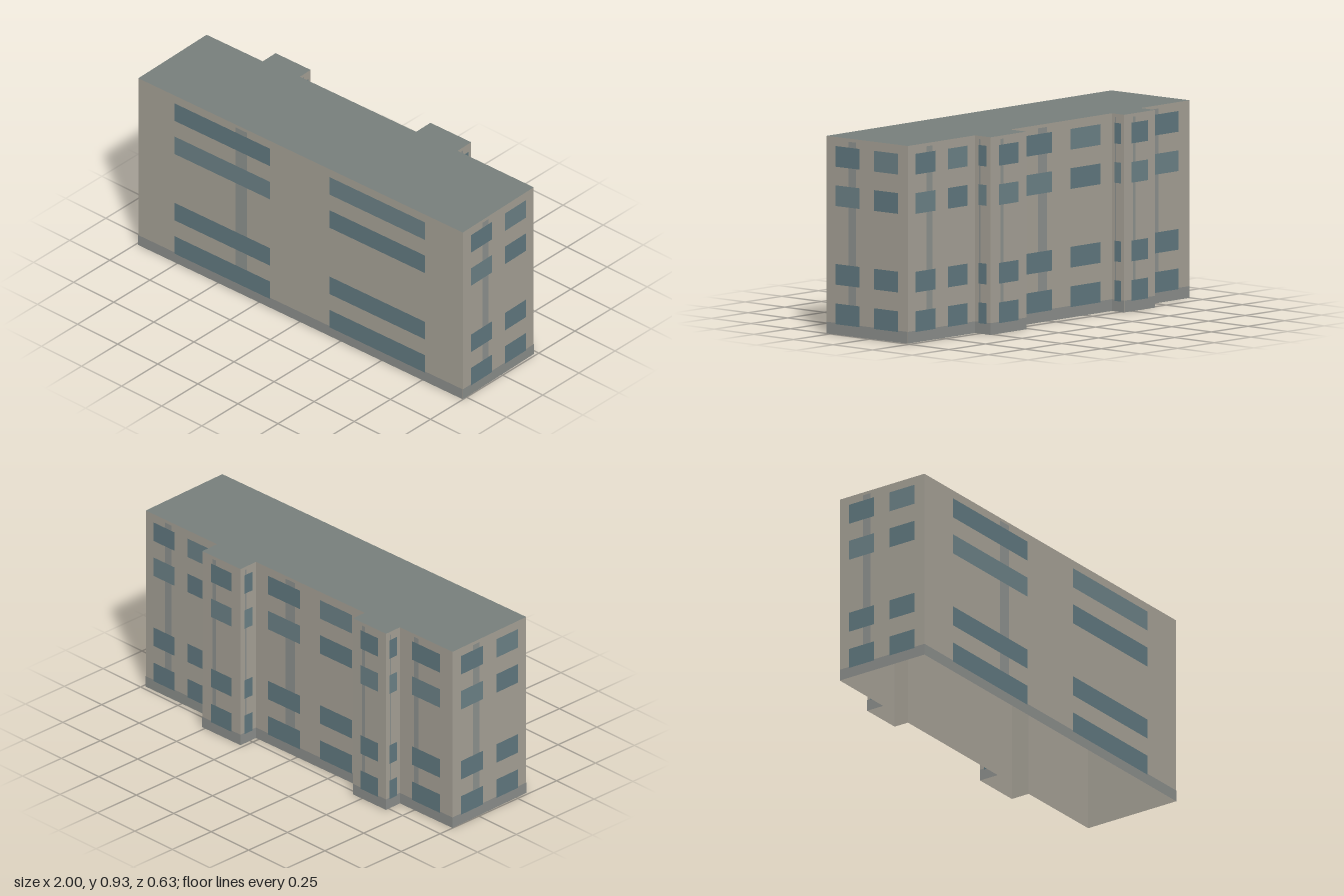
import * as THREE from 'three';

const HEIGHT = 0.925;
const BASE_HEIGHT = 0.055;

// Footprint corners [x, z], anticlockwise seen from above, starting at the front.
const FOOTPRINT = [
  [-0.988, 0.316], [0.998, 0.274], [0.987, -0.229],
  [0.52, -0.221], [0.518, -0.317], [0.268, -0.312], [0.27, -0.211],
  [-0.44, -0.195], [-0.442, -0.271], [-0.657, -0.267], [-0.655, -0.176],
  [-0.998, -0.168],
];

// Bottom of each window row; the middle storey (index 2) is blank.
const ROWS = [0.049, 0.234, null, 0.602, 0.786];
const WINDOW_HEIGHT = 0.097;

const paint = (color, side = THREE.FrontSide) =>
  new THREE.MeshStandardMaterial({ color, side });

export function createModel() {
  const model = new THREE.Group();
  model.name = 'apartmentBlock';

  const wallMaterial = paint(0xa8a398, THREE.DoubleSide);
  const roofMaterial = paint(0x78807d, THREE.DoubleSide);
  const baseMaterial = paint(0x8d908d);
  const stripMaterial = paint(0x8f9390);
  const glassMaterial = paint(0x627a81);
  const paleGlassMaterial = paint(0x6d8388);

  // Each facade is a group whose local x runs along the wall and z points outwards.
  function facade([x0, z0], [x1, z1], name) {
    const length = Math.hypot(x1 - x0, z1 - z0);
    const group = new THREE.Group();
    group.name = name;
    group.position.set(x0, 0, z0);
    group.rotation.y = Math.atan2(z0 - z1, x1 - x0);

    const panel = (part, centre, width, bottom, top, lift, material) => {
      const mesh = new THREE.Mesh(new THREE.PlaneGeometry(width, top - bottom), material);
      mesh.position.set(centre, (bottom + top) / 2, lift);
      mesh.name = part;
      group.add(mesh);
    };

    panel('wall', length / 2, length, 0, HEIGHT, 0, wallMaterial);
    panel('baseBand', length / 2, length, 0, BASE_HEIGHT, 0.0008, baseMaterial);
    panel('verticalStrip', length * 0.318, Math.min(0.07, length * 0.088),
      BASE_HEIGHT, 0.91, 0.0012, stripMaterial);

    // Long walls carry two columns of windows, short walls one.
    const columns = length > 0.4 ? [0.26, 0.737] : [0.5];
    const width = length * (columns.length === 2 ? 0.295 : 0.535);
    ROWS.forEach((bottom, row) => {
      if (bottom === null) return;
      columns.forEach((u, column) => {
        const glass = row - column === 3 ? paleGlassMaterial : glassMaterial;
        panel('window', length * u, width, bottom, bottom + WINDOW_HEIGHT, 0.002, glass);
      });
    });
    return group;
  }

  const names = [
    'frontFacade', 'leftFacade', 'backLeftFacade',
    'largeBayLeftSide', 'largeBayBack', 'largeBayRightSide', 'backMiddleFacade',
    'smallBayLeftSide', 'smallBayBack', 'smallBayRightSide', 'backRightFacade',
    'rightFacade',
  ];
  FOOTPRINT.forEach((corner, i) => {
    model.add(facade(corner, FOOTPRINT[(i + 1) % FOOTPRINT.length], names[i]));
  });

  // Flat roof following the footprint; the underside of the block stays open.
  const outline = new THREE.Shape(FOOTPRINT.map(([x, z]) => new THREE.Vector2(x, -z)));
  const roof = new THREE.Mesh(
    new THREE.ShapeGeometry(outline).rotateX(-Math.PI / 2), roofMaterial);
  roof.position.y = HEIGHT;
  roof.name = 'roof';
  model.add(roof);

  return model;
}
